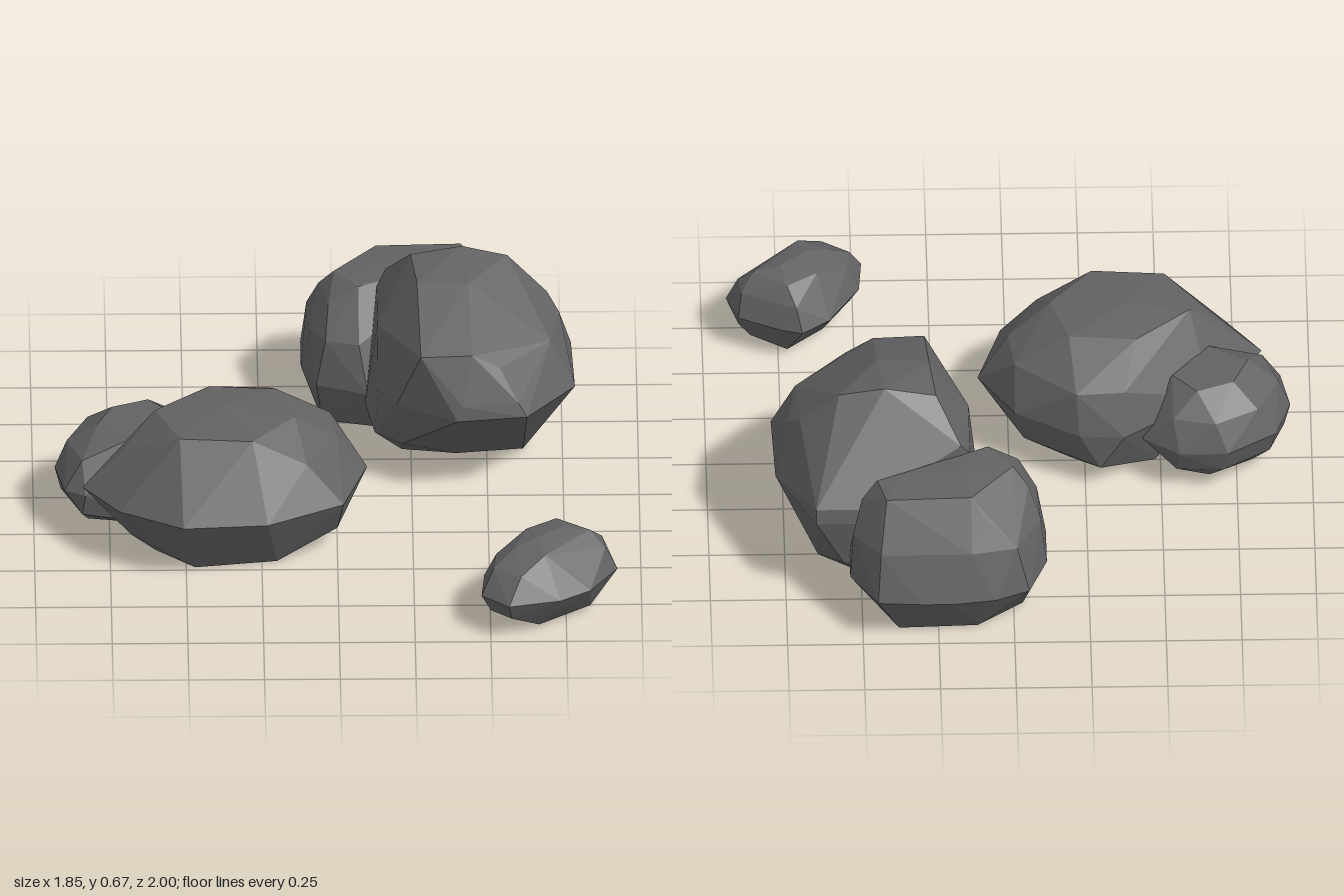
import * as THREE from 'three';
import { ConvexGeometry } from 'three/addons/geometries/ConvexGeometry.js';

// Each boulder is the faceted hull of a few level cross-sections: [height, [x, z, x, z, ...]].
const boulders = {
  wideBoulder: [
    [0.0, [-0.6, 0.36, -0.47, 0.48, -0.2, 0.44, -0.1, 0.22, -0.2, 0.02, -0.48, 0.0]],
    [0.08, [0.03, 0.2, -0.05, 0.02, -0.3, -0.15, 0.0, 0.36, -0.68, 0.4]],
    [0.21, [-0.84, 0.31, -0.72, 0.48, -0.51, 0.6, -0.23, 0.58, 0.02, 0.44, 0.1, 0.18,
      -0.02, -0.02, -0.23, -0.15, -0.38, -0.16, -0.67, 0.06]],
    [0.35, [-0.7, 0.3, -0.02, 0.06, -0.22, -0.11, -0.38, -0.1, 0.0, 0.22, -0.1, 0.42]],
    [0.45, [-0.6, 0.22, -0.52, 0.42, -0.28, 0.44, -0.14, 0.27, -0.2, 0.08, -0.42, 0.06]],
    [0.47, [-0.37, 0.22]],
  ],
  sideBoulder: [
    [0.01, [-0.82, 0.16, -0.8, -0.02, -0.66, -0.1, -0.52, 0.0, -0.6, 0.2]],
    [0.08, [-0.91, 0.08, -0.84, 0.26, -0.86, -0.06, -0.7, -0.17, -0.55, -0.16]],
    [0.16, [-0.93, 0.08, -0.9, 0.24, -0.83, 0.28, -0.88, -0.08, -0.72, -0.19, -0.56, -0.19,
      -0.44, -0.1, -0.45, 0.1]],
    [0.26, [-0.89, 0.08, -0.84, 0.22, -0.82, -0.08, -0.68, -0.16, -0.54, -0.13]],
    [0.33, [-0.79, 0.1, -0.74, -0.02, -0.62, -0.07, -0.54, 0.02, -0.66, 0.18]],
  ],
  tallBoulder: [
    [0.0, [0.22, -0.32, 0.4, -0.29, 0.62, -0.32, 0.64, -0.5, 0.5, -0.6, 0.28, -0.58]],
    [0.13, [0.1, -0.4, 0.13, -0.2, 0.22, -0.12, 0.16, -0.6, 0.56, -0.72]],
    [0.31, [0.12, -0.36, 0.14, -0.18, 0.2, -0.06, 0.4, 0.06, 0.63, 0.03, 0.79, -0.18,
      0.78, -0.48, 0.65, -0.75, 0.51, -0.75, 0.16, -0.62]],
    [0.36, [0.65, -0.74, 0.51, -0.74, 0.42, 0.05, 0.6, 0.02]],
    [0.47, [0.14, -0.58, 0.14, -0.32, 0.74, -0.4, 0.71, -0.2, 0.54, -0.02]],
    [0.52, [0.28, 0.0, 0.45, -0.01, 0.7, -0.45, 0.17, -0.61]],
    [0.64, [0.25, -0.49, 0.27, -0.3, 0.44, -0.29, 0.57, -0.48]],
    [0.67, [0.42, -0.49]],
  ],
  rearBoulder: [
    [0.0, [-0.04, -0.52, -0.03, -0.78, 0.12, -0.9, 0.38, -0.91, 0.46, -0.72, 0.2, -0.46]],
    [0.16, [-0.11, -0.77, -0.11, -0.6, -0.06, -0.47, 0.11, -0.4, -0.05, -0.93, 0.06, -0.98,
      0.2, -1.0, 0.3, -1.0, 0.45, -0.99, 0.54, -0.84, 0.54, -0.7]],
    [0.32, [-0.09, -0.75, -0.08, -0.57, -0.03, -0.48, 0.08, -0.45, -0.01, -0.91, 0.14, -0.94,
      0.44, -0.94, 0.53, -0.82]],
    [0.42, [-0.05, -0.7, -0.02, -0.55, 0.1, -0.87, 0.44, -0.87, 0.5, -0.76]],
    [0.48, [0.0, -0.67, 0.14, -0.84, 0.42, -0.85, 0.45, -0.74, 0.08, -0.56]],
    [0.49, [0.18, -0.7, 0.36, -0.72]],
  ],
  smallBoulder: [
    [0.015, [0.58, 0.87, 0.66, 0.91, 0.83, 0.78, 0.84, 0.69, 0.72, 0.61, 0.6, 0.72]],
    [0.07, [0.5, 0.91, 0.57, 0.97, 0.51, 0.8, 0.88, 0.68, 0.72, 0.92]],
    [0.13, [0.47, 0.92, 0.48, 0.78, 0.58, 0.61, 0.67, 0.54, 0.74, 0.56, 0.88, 0.63,
      0.92, 0.74, 0.83, 0.89, 0.73, 0.96, 0.56, 1.0]],
    [0.21, [0.51, 0.88, 0.52, 0.78, 0.6, 0.94, 0.69, 0.57, 0.87, 0.66, 0.88, 0.74]],
    [0.26, [0.58, 0.83, 0.62, 0.7, 0.72, 0.63, 0.83, 0.71, 0.68, 0.88]],
    [0.28, [0.66, 0.79, 0.74, 0.72]],
  ],
};

export function createModel() {
  const group = new THREE.Group();
  group.name = 'boulderCluster';
  const stone = new THREE.MeshStandardMaterial({ color: 0x626264 });
  stone.name = 'darkStone';

  for (const [name, sections] of Object.entries(boulders)) {
    const points = [];
    for (const [y, xz] of sections) {
      for (let i = 0; i < xz.length; i += 2) points.push(new THREE.Vector3(xz[i], y, xz[i + 1]));
    }
    const boulder = new THREE.Mesh(new ConvexGeometry(points), stone);
    boulder.name = name;
    group.add(boulder);
  }
  return group;
}
